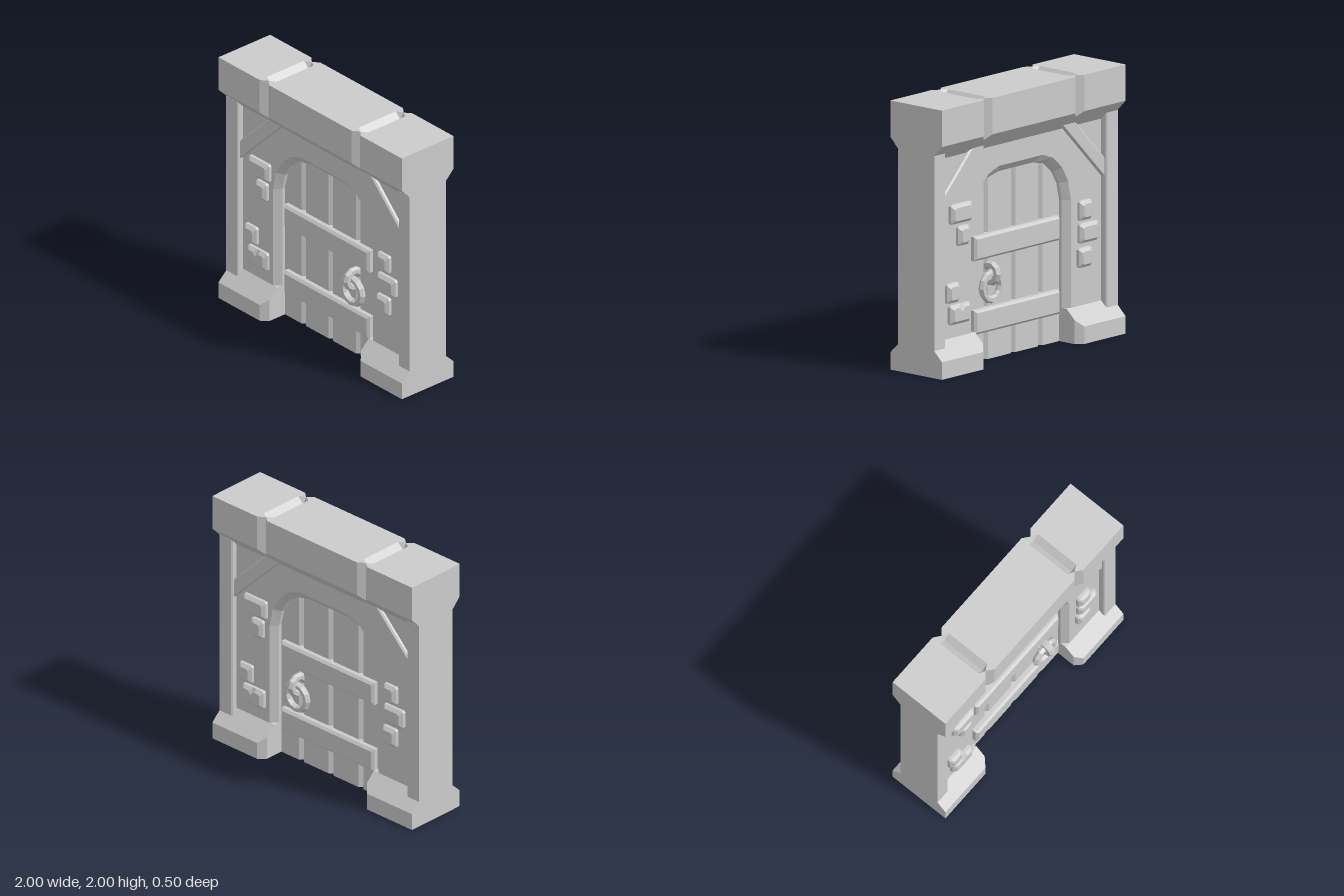
import * as THREE from 'three';

const mat = new THREE.MeshStandardMaterial({ color: 0xcccccc, flatShading: true });

function part(name, geometry, parent) {
  const mesh = new THREE.Mesh(geometry, mat);
  mesh.name = name;
  parent.add(mesh);
  return mesh;
}

// Skin a row of cross-sections (arrays of [x, y, z]); closed rings get fan caps
function loft(sections, { closed = true, caps = true } = {}) {
  const out = [];
  const n = sections[0].length;
  for (let i = 0; i < sections.length - 1; i++) {
    for (let j = 0; j < (closed ? n : n - 1); j++) {
      const k = (j + 1) % n;
      const [a, b, c, d] = [sections[i][j], sections[i][k], sections[i + 1][k], sections[i + 1][j]];
      out.push(...a, ...b, ...c, ...a, ...c, ...d);
    }
  }
  if (caps) {
    [sections[0], sections[sections.length - 1]].forEach((ring, end) => {
      const mid = [0, 1, 2].map(a => ring.reduce((s, p) => s + p[a], 0) / n);
      ring.forEach((p, j) => {
        const q = ring[(j + 1) % n];
        out.push(...mid, ...(end ? p : q), ...(end ? q : p));
      });
    });
  }
  const g = new THREE.BufferGeometry();
  g.setAttribute('position', new THREE.Float32BufferAttribute(out, 3));
  g.computeVertexNormals();
  return g;
}

const shapeOf = pts => new THREE.Shape(pts.map(p => new THREE.Vector2(...p)));

// Block standing out along +z, with a chamfered front, cut corners and optional chip
function block(x, y, w, h, z0, z1, bevel, cut = 0, chip = 0) {
  const ring = (inset, z, dip) => {
    const a = w / 2 - inset, b = h / 2 - inset;
    const pts = [[-a + cut, -b], [a - cut, -b], [a, -b + cut], [a, b - cut], [a - cut, b]];
    if (chip) pts.push([chip, b], [0, b - dip], [-chip, b]);
    pts.push([-a + cut, b], [-a, b - cut], [-a, -b + cut]);
    return pts.map(p => [x + p[0], y + p[1], z]);
  };
  return loft([ring(0, z0, 0), ring(0, z1 - bevel, 0), ring(bevel, z1, chip)]);
}

// Lintel: chamfered beam with V grooves down both faces and across the top
function addLintel(group) {
  const lintel = new THREE.Group();
  lintel.name = 'lintel';
  group.add(lintel);
  const stations = [[-1, 0], [-0.55, 0], [-0.5, 0.04], [-0.45, 0], [0.45, 0], [0.5, 0.04], [0.55, 0], [1, 0]];
  const section = ([x, cut]) => {
    const z = 0.25 - cut, y = 1.73 - cut;
    return [[x, 2, z], [x, y, z], [x, 1.6, 0.125], [x, 1.6, -0.125], [x, y, -z], [x, 2, -z]];
  };
  part('lintelBeam', loft(stations.map(section), { closed: false }), lintel);

  const rim = stations.map(([x, cut]) => [x, 0.25 - cut]);
  const top = shapeOf([...rim, ...rim.map(([x, z]) => [x, -z]).reverse()]);
  for (const x of [-0.5, 0.5]) {
    const hole = [[0, 0.21], [-0.05, 0.18], [-0.05, -0.18], [0, -0.21], [0.05, -0.18], [0.05, 0.18]];
    top.holes.push(new THREE.Path(hole.map(p => new THREE.Vector2(x + p[0], p[1]))));
    const vee = (z, w) => [[x + w, 2, z], [x, 2 - w, z], [x - w, 2, z]];
    part('topGroove', loft([vee(-0.21, 0), vee(-0.18, 0.05), vee(0.18, 0.05), vee(0.21, 0)],
      { closed: false, caps: false }), lintel);
  }
  part('lintelTop', new THREE.ShapeGeometry(top).rotateX(-Math.PI / 2).translate(0, 2, 0), lintel);
}

// Corner pillar and flared plinth of one side
function addSide(group, sign) {
  const side = new THREE.Group();
  side.name = sign > 0 ? 'leftSide' : 'rightSide';
  side.scale.x = sign;
  group.add(side);

  const plan = shapeOf([[1, -0.175], [1, 0.175], [0.885, 0.175], [0.875, 0.165], [0.875, -0.165], [0.885, -0.175]]);
  part('pillar', new THREE.ExtrudeGeometry(plan, { depth: 1.55, bevelEnabled: false })
    .rotateX(-Math.PI / 2).translate(0, 0.1, 0), side);

  const section = (x, z, y) => [[x, 0.25, 0.125], [x, y, z], [x, 0, z], [x, 0, -z], [x, y, -z], [x, 0.25, -0.125]];
  part('plinth', loft([section(0.5, 0.2, 0.178), section(0.55, 0.25, 0.13), section(1, 0.25, 0.13)]), side);
}

// Door leaf: planks separated by V grooves on both faces
function addDoor(group) {
  const edge = [[-0.52, 0.05]];
  for (const x of [-0.297, 0, 0.297]) edge.push([x - 0.025, 0.05], [x, 0.025], [x + 0.025, 0.05]);
  edge.push([0.52, 0.05]);
  const plan = shapeOf([...edge, ...edge.map(([x, z]) => [x, -z]).reverse()]);
  part('doorPlanks', new THREE.ExtrudeGeometry(plan, { depth: 1.42, bevelEnabled: false })
    .rotateX(-Math.PI / 2), group);
}

// Half outlines of the arch, outer lip and inner edge
const OUTER = [[0.545, 0], [0.545, 1.05], [0.515, 1.2], [0.45, 1.31], [0.35, 1.4], [0.24, 1.44]];
const INNER = [[0.5, 0], [0.5, 1.05], [0.47, 1.18], [0.41, 1.28], [0.32, 1.355], [0.18, 1.385]];
const fullArch = half => [...half.map(([x, y]) => [-x, y]), ...[...half].reverse()];

// Everything on one face of the gate
function makeFace(name, handleX) {
  const face = new THREE.Group();
  face.name = name;

  const sheet = shapeOf([[-0.9, 0], ...fullArch(OUTER), [0.9, 0], [0.9, 1.65], [-0.9, 1.65]]);
  part('wall', new THREE.ShapeGeometry(sheet).translate(0, 0, 0.125), face);
  const at = (half, z) => fullArch(half).map(([x, y]) => [x, y, z]);
  part('archBevel', loft([at(INNER, 0.04), at(INNER, 0.075), at(OUTER, 0.125)],
    { closed: false, caps: false }), face);

  // Diagonal corner braces
  const brace = shapeOf([[0.92, 1.14], [0.92, 1.265], [0.495, 1.69], [0.37, 1.69]]);
  for (const s of [-1, 1]) {
    part('cornerBrace', new THREE.ExtrudeGeometry(brace, {
      depth: 0.04, bevelSize: 0.012, bevelThickness: 0.012, bevelSegments: 1,
    }).translate(0, 0, 0.103), face).scale.x = s;
  }

  // Protruding stones: x, y, width, height, chip
  const stones = [
    [-0.675, 1.17, 0.225, 0.145], [-0.65, 1.0, 0.12, 0.145], [-0.765, 0.59, 0.13, 0.145],
    [-0.69, 0.425, 0.215, 0.145, 0.032],
    [0.68, 0.96, 0.13, 0.145], [0.715, 0.79, 0.2, 0.145], [0.675, 0.61, 0.14, 0.145],
  ];
  for (const [x, y, w, h, chip] of stones) {
    part('wallStone', block(x, y, w, h, 0.1, 0.172, 0.024, 0.012, chip), face);
  }

  // Door battens
  for (const y of [0.852, 0.304]) part('batten', block(0, y, 0.93, 0.18, 0.03, 0.1, 0.018), face);

  // Staple and pull ring
  const handle = new THREE.Group();
  handle.name = 'doorHandle';
  handle.position.set(handleX, 0, 0);
  face.add(handle);
  part('staple', new THREE.TorusGeometry(0.065, 0.03, 6, 10).rotateY(Math.PI / 2), handle)
    .position.set(0, 0.65, 0.095);
  part('pullRing', new THREE.TorusGeometry(0.098, 0.028, 6, 12), handle).position.set(0, 0.55, 0.1);
  return face;
}

export function createModel() {
  const model = new THREE.Group();
  model.name = 'gate';
  addLintel(model);
  addSide(model, 1);
  addSide(model, -1);
  addDoor(model);
  // The back repeats the front turned around, with both handles on the same door edge
  model.add(makeFace('frontFace', 0.295));
  const back = makeFace('backFace', -0.295);
  back.rotation.y = Math.PI;
  model.add(back);
  return model;
}
